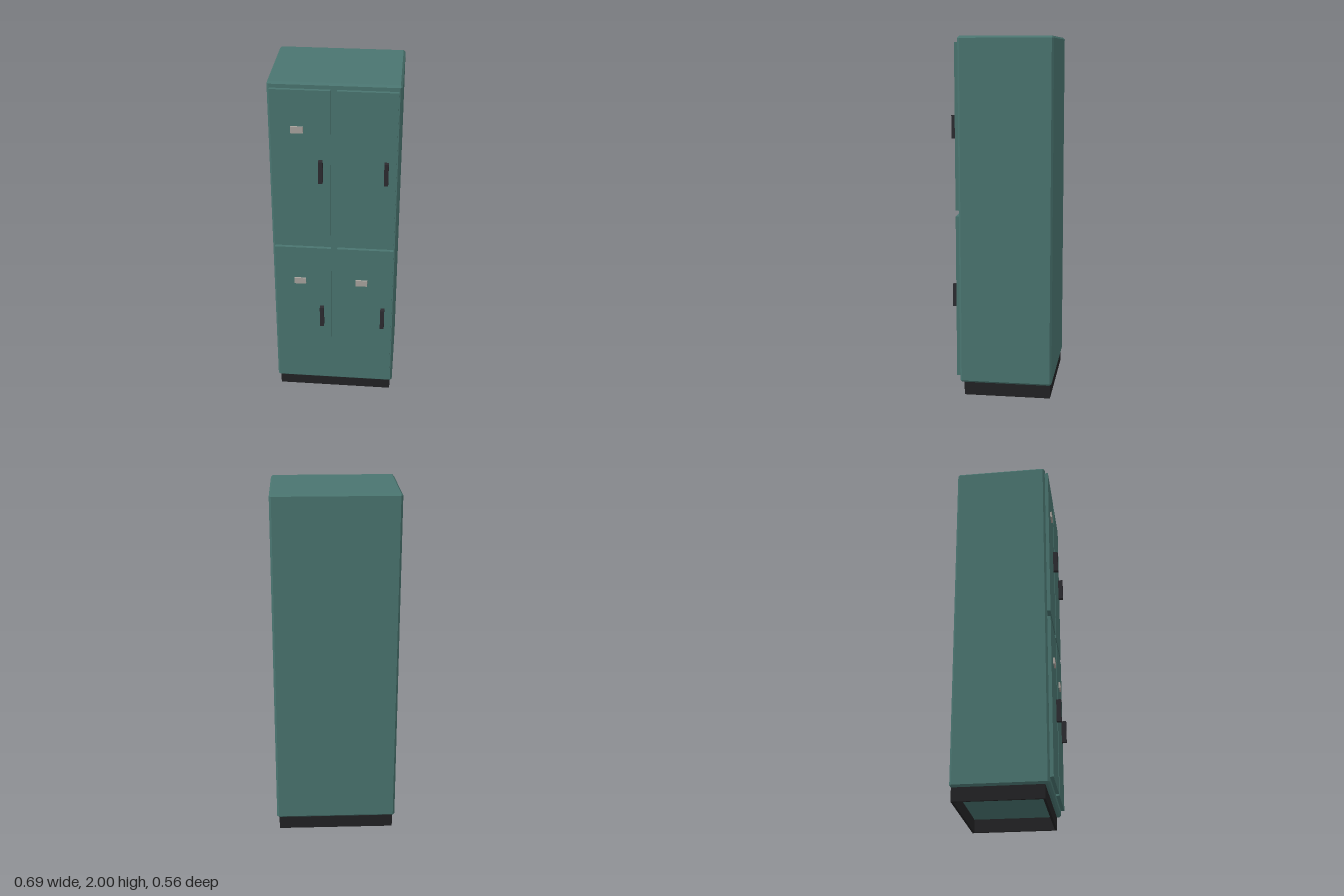
import * as THREE from 'three';
import { ConvexGeometry } from 'three/addons/geometries/ConvexGeometry.js';

const paint = (color) => new THREE.MeshStandardMaterial({ color });

// Box with every edge and corner cut at 45 degrees
function chamferedBox(w, h, d, c) {
  const points = [];
  for (const sx of [-1, 1]) for (const sy of [-1, 1]) for (const sz of [-1, 1]) {
    const x = sx * w / 2, y = sy * h / 2, z = sz * d / 2;
    points.push(
      new THREE.Vector3(x, y - sy * c, z - sz * c),
      new THREE.Vector3(x - sx * c, y, z - sz * c),
      new THREE.Vector3(x - sx * c, y - sy * c, z),
    );
  }
  return new ConvexGeometry(points);
}

function rectangle(PathType, w, d) {
  return new PathType([[-1, -1], [1, -1], [1, 1], [-1, 1]]
    .map(([x, y]) => new THREE.Vector2(x * w / 2, y * d / 2)));
}

export function createModel() {
  const model = new THREE.Group();
  model.name = 'locker';
  const teal = paint(0x4a7570);
  const plinthBlack = paint(0x222224);
  const handleBlack = paint(0x2c2b30);
  const labelGrey = paint(0xa8a39d);

  const add = (parent, name, geometry, material, x, y, z) => {
    const mesh = new THREE.Mesh(geometry, material);
    mesh.name = name;
    mesh.position.set(x, y, z);
    parent.add(mesh);
    return mesh;
  };

  // Cabinet body
  const bottom = 0.075, top = 2, back = -0.283, front = 0.235;
  add(model, 'cabinet', chamferedBox(0.694, top - bottom, front - back, 0.011), teal,
    0, (top + bottom) / 2, (front + back) / 2);

  // Hollow plinth, open underneath
  const ring = rectangle(THREE.Shape, 0.666, 0.485);
  ring.holes.push(rectangle(THREE.Path, 0.642, 0.461));
  const plinth = add(model, 'plinth',
    new THREE.ExtrudeGeometry(ring, { depth: bottom, bevelEnabled: false }),
    plinthBlack, 0, 0, -0.032);
  plinth.rotation.x = -Math.PI / 2;

  // Four doors, each with a handle; the upper left door has no label plate
  const doorGeometry = new THREE.BoxGeometry(0.314, 0.912, 0.019);
  const handleGeometry = new THREE.BoxGeometry(0.023, 0.128, 0.027);
  const labelGeometry = new THREE.BoxGeometry(0.066, 0.037, 0.009);
  for (const [row, y] of [['lower', 0.567], ['upper', 1.512]]) {
    for (const [side, x] of [['Right', -0.176], ['Left', 0.173]]) {
      const unit = new THREE.Group();
      unit.name = `${row}${side}Door`;
      unit.position.set(x, y, front);
      model.add(unit);
      add(unit, 'doorPanel', doorGeometry, teal, 0, 0, 0.0095);
      add(unit, 'handle', handleGeometry, handleBlack, 0.105, 0, 0.0325);
      if (row === 'lower' || side === 'Right') {
        add(unit, 'labelPlate', labelGeometry, labelGrey, -0.018, 0.236, 0.0235);
      }
    }
  }
  return model;
}
